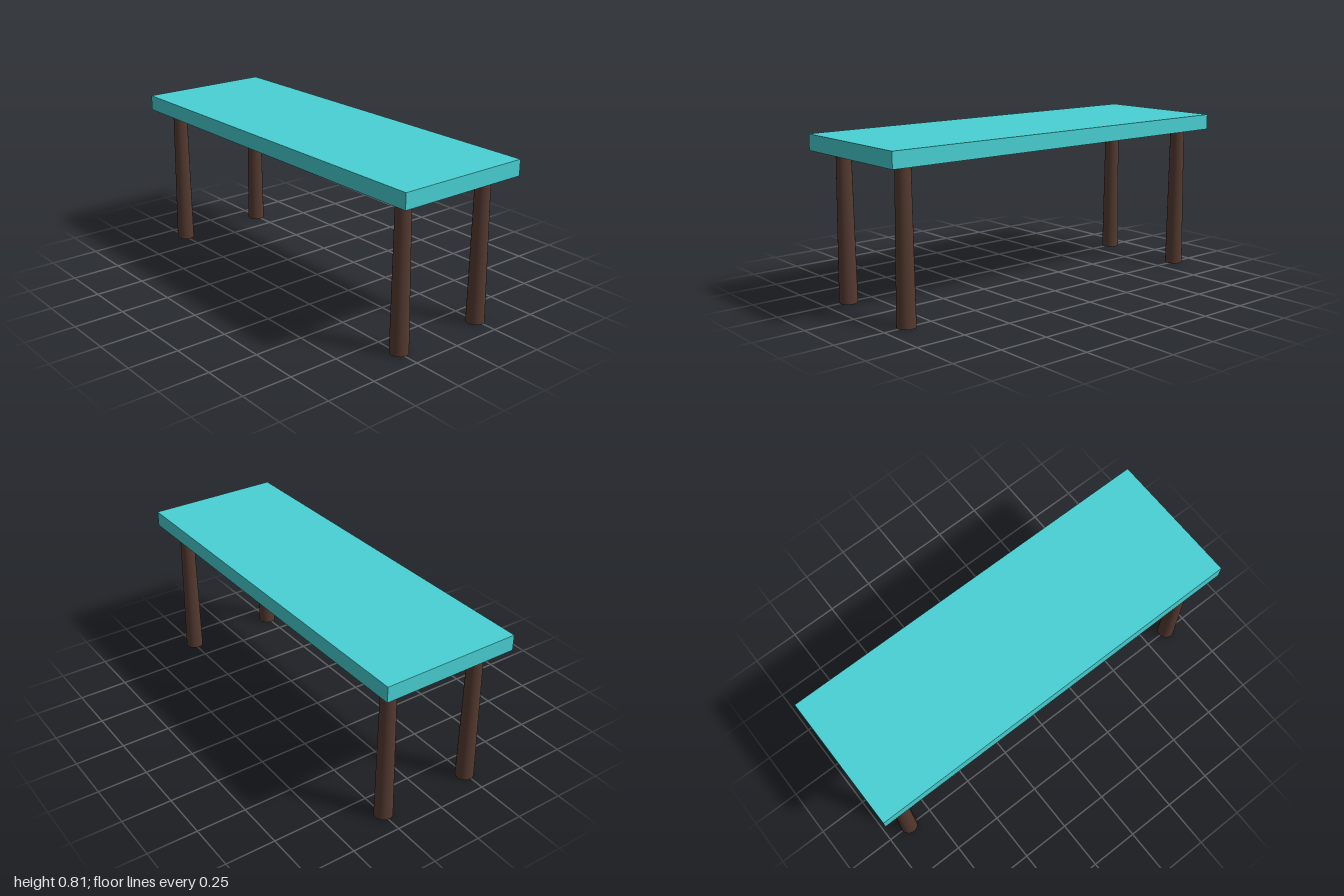
import * as THREE from 'three';

export function createModel() {
  const model = new THREE.Group();
  model.name = 'table';
  const topMaterial = new THREE.MeshStandardMaterial({ color: 0x48d1d4 });
  const legMaterial = new THREE.MeshStandardMaterial({ color: 0x543a30 });

  const topY = 0.81, thickness = 0.078;
  const legHeight = topY - thickness;

  // Rectangular slab
  const tabletop = new THREE.Mesh(new THREE.BoxGeometry(2, thickness, 0.696), topMaterial);
  tabletop.name = 'tabletop';
  tabletop.position.y = topY - thickness / 2;
  model.add(tabletop);

  // Four round legs, slightly wider at the floor
  const legGeometry = new THREE.CylinderGeometry(0.036, 0.045, legHeight, 32);
  for (const [side, x] of [['Left', 0.88], ['Right', -0.88]]) {
    for (const [end, z] of [['front', 0.245], ['back', -0.245]]) {
      const leg = new THREE.Mesh(legGeometry, legMaterial);
      leg.name = `${end}${side}Leg`;
      leg.position.set(x, legHeight / 2, z);
      model.add(leg);
    }
  }
  return model;
}
